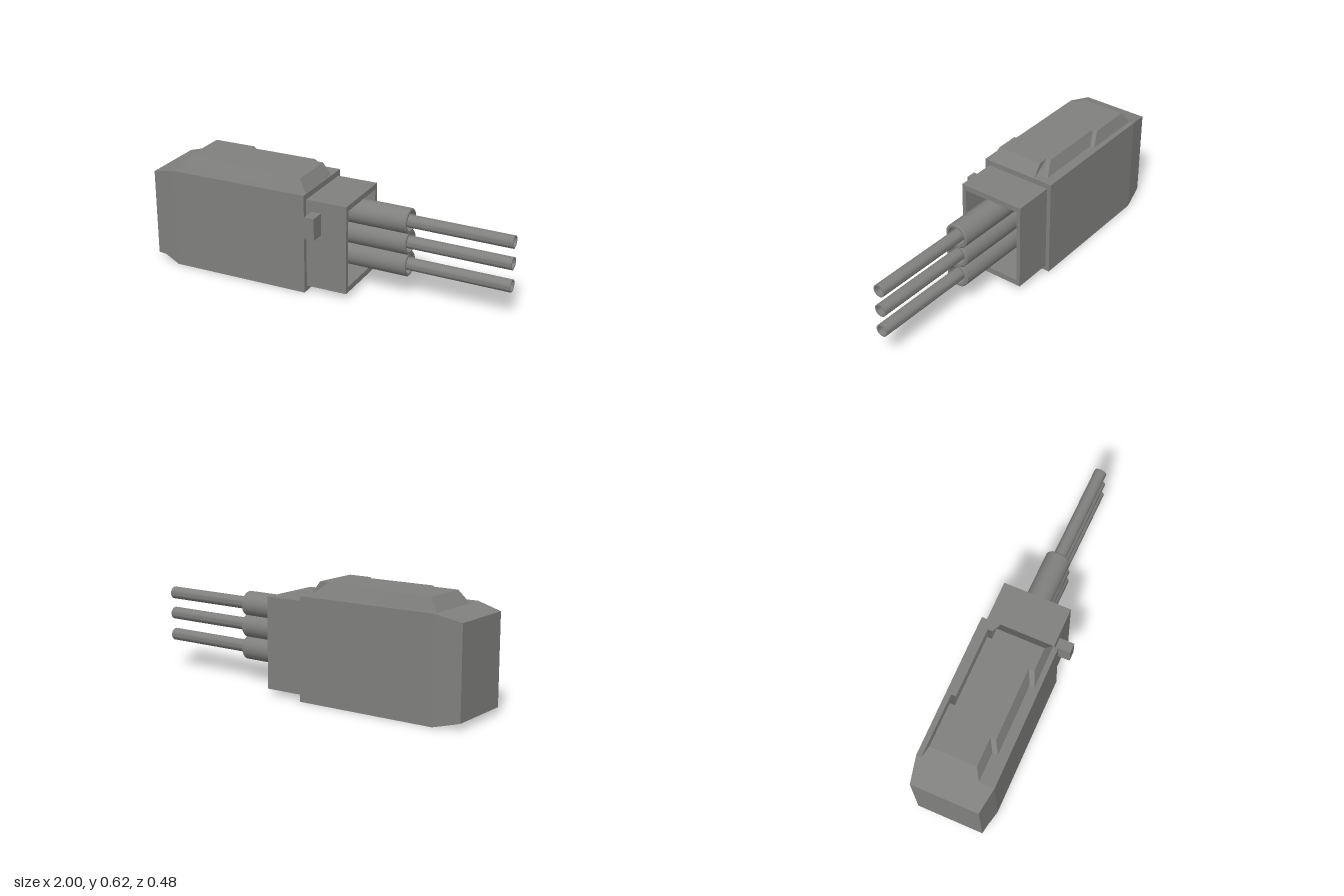
import * as THREE from 'three';
import { toCreasedNormals } from 'three/addons/utils/BufferGeometryUtils.js';

// Closed faceted solid from matching counter-clockwise loops of [u, v], stacked along w.
function loft(loops, levels, place) {
  const pos = [];
  const put = (k, i) => pos.push(...place(loops[k][i][0], loops[k][i][1], levels[k]));
  const n = loops[0].length;
  for (let k = 0; k < loops.length - 1; k++) {
    for (let i = 0; i < n; i++) {
      const j = (i + 1) % n;
      put(k, i); put(k, j); put(k + 1, j);
      put(k, i); put(k + 1, j); put(k + 1, i);
    }
  }
  const last = loops.length - 1;
  const triangulate = (k) => THREE.ShapeUtils.triangulateShape(loops[k].map((p) => new THREE.Vector2(...p)), []);
  for (const [a, b, c] of triangulate(0)) { put(0, c); put(0, b); put(0, a); }
  for (const [a, b, c] of triangulate(last)) { put(last, a); put(last, b); put(last, c); }
  const g = new THREE.BufferGeometry();
  g.setAttribute('position', new THREE.Float32BufferAttribute(pos, 3));
  g.computeVertexNormals();
  return g;
}

const rectPath = (path, x0, y0, x1, y1) =>
  path.moveTo(x0, y0).lineTo(x1, y0).lineTo(x1, y1).lineTo(x0, y1).closePath();

export function createModel() {
  const model = new THREE.Group();
  model.name = 'tripleBarrelTurret';
  const metal = new THREE.MeshStandardMaterial({ color: 0x80807e });
  metal.name = 'grey metal';

  const add = (name, geometry, x = 0, y = 0, z = 0) => {
    const mesh = new THREE.Mesh(geometry, metal);
    mesh.name = name;
    mesh.position.set(x, y, z);
    model.add(mesh);
    return mesh;
  };

  // Housing: cross-sections along x, tapering towards the rear
  const section = (yBack, yFront, yTop, zBack, zFront) =>
    [[yBack, zBack], [yTop, zBack], [yTop, zFront], [yFront, zFront]];
  add('housing', loft([
    section(0.035, 0.035, 0.52, -0.21, 0.16),
    section(0.022, 0.035, 0.532, -0.22, 0.168),
    section(0, 0, 0.553, -0.238, 0.184),
    section(0, 0, 0.553, -0.24, 0.185),
  ], [-1, -0.95, -0.86, -0.07], (u, v, w) => [w, u, v]));

  // Raised roof plate with stepped long sides and sloping edges
  const base = [[-0.86, 0.1], [-0.7, 0.1], [-0.7, 0.13], [-0.31, 0.13], [-0.31, 0.157], [-0.07, 0.157],
    [-0.07, -0.135], [-0.12, -0.16], [-0.12, -0.185], [-0.51, -0.185], [-0.51, -0.21], [-0.86, -0.21]];
  const top = [[-0.81, 0.07], [-0.65, 0.07], [-0.65, 0.1], [-0.25, 0.1], [-0.25, 0.13], [-0.12, 0.13],
    [-0.12, -0.133], [-0.18, -0.133], [-0.18, -0.158], [-0.57, -0.158], [-0.57, -0.185], [-0.81, -0.185]];
  const flip = (loop) => loop.map(([x, z]) => [x, -z]);
  add('roofPlate', loft([flip(base), flip(top)], [0.553, 0.62], (u, v, w) => [u, w, -v]));

  // Hollow rectangular collar around the barrels
  const frame = new THREE.Shape();
  rectPath(frame, -0.158, 0.03, 0.217, 0.523);
  const opening = new THREE.Path();
  rectPath(opening, -0.135, 0.062, 0.195, 0.493);
  frame.holes.push(opening);
  const collar = new THREE.ExtrudeGeometry(frame, { depth: 0.23, bevelEnabled: false });
  collar.rotateY(Math.PI / 2);
  add('collar', collar, -0.07, 0, 0);

  // Small sight box on the front of the collar
  add('sightBox', new THREE.BoxGeometry(0.055, 0.122, 0.09), -0.012, 0.4, 0.195);

  // Barrels: wide recessed sleeve and slim hollow tube, angled slightly forwards
  const profile = [[0.068, 0], [0.068, 0.505], [0.063, 0.51], [0.052, 0.51], [0.048, 0.44],
    [0.034, 0.44], [0.034, 1.07], [0.026, 1.07], [0.026, 0.85], [0, 0.85]]
    .map(([r, y]) => new THREE.Vector2(r, y));
  const barrel = toCreasedNormals(new THREE.LatheGeometry(profile, 32), 0.5);
  barrel.rotateZ(-Math.PI / 2);
  barrel.rotateY(-0.018);
  [0.429, 0.311, 0.187].forEach((y, i) => {
    add(['upperBarrel', 'middleBarrel', 'lowerBarrel'][i], barrel, -0.07, y, -0.036);
  });

  return model;
}
